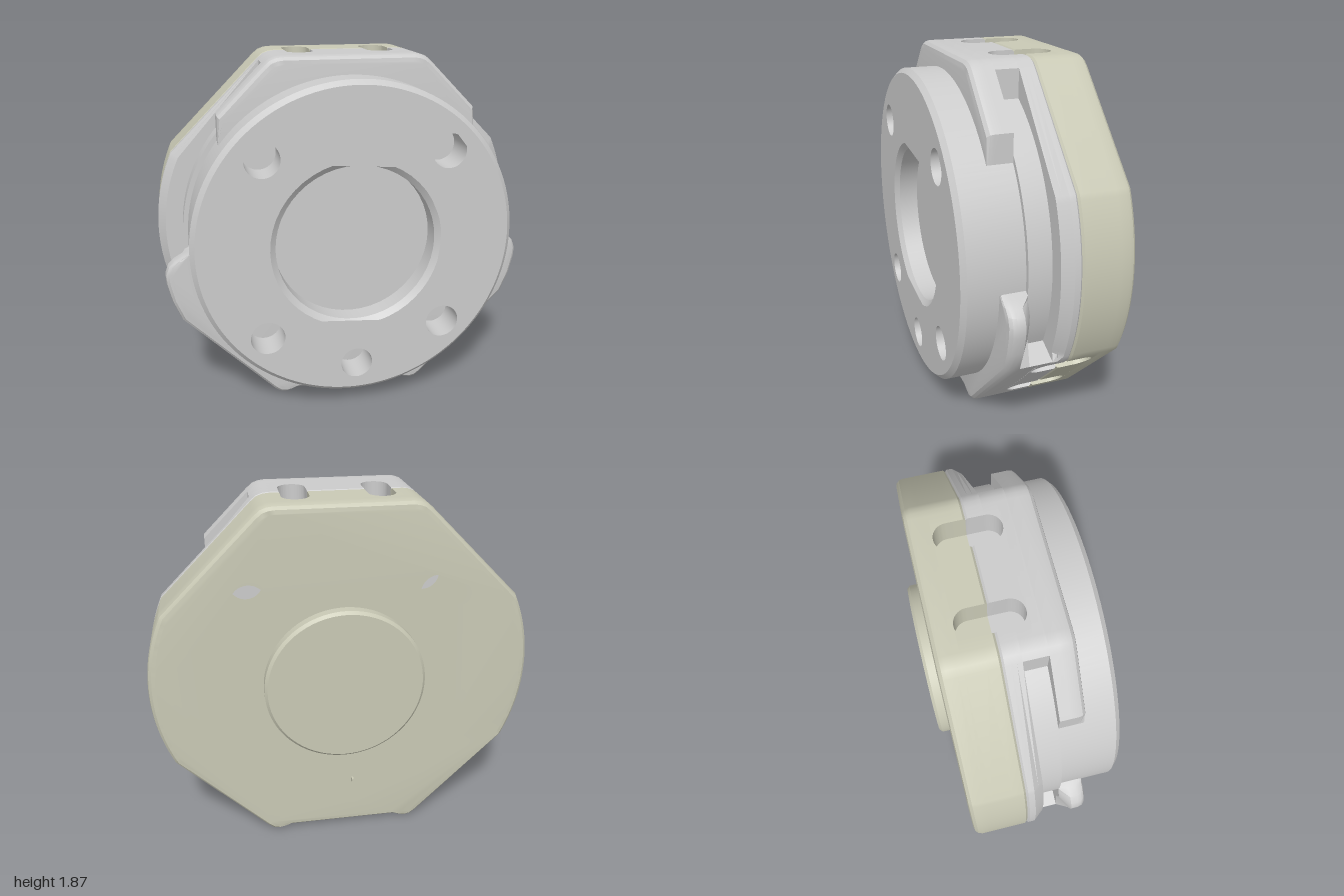
import * as THREE from 'three';
import { mergeGeometries, toCreasedNormals } from 'three/addons/utils/BufferGeometryUtils.js';

const D = Math.PI / 180, SEAM = -0.09, DEPTH = 0.15;
const grey = new THREE.MeshStandardMaterial({ color: 0xcccccc });
const beige = new THREE.MeshStandardMaterial({ color: 0xc9c9b5 });

// Edge recesses: face angle, face distance, offset along face, half width, z range
const recesses = [];
for (const s of [-1, 1]) {
  for (const a of [90, -45, -135]) recesses.push({ a, d: 0.94, u: s * 0.215, w: 0.07, z0: -0.255, z1: 0.07 });
  for (const z of [-0.22, 0.04]) recesses.push({ a: -90, d: 0.91, u: s * 0.15, w: 0.065, z0: z - 0.065, z1: z + 0.065 });
}

const onFace = (a, r, u) => [Math.cos(a * D) * r + Math.sin(a * D) * u, Math.sin(a * D) * r - Math.cos(a * D) * u];

// Notch corners on one face at height z, running clockwise
function notches(a, z) {
  return recesses
    .filter(n => n.a === a && z > n.z0 && z < n.z1 && !(a === 90 && n.u < 0) && !(a === -90 && n.u > 0))
    .sort((p, q) => p.u - q.u)
    .flatMap(n => [[n.d, -n.w], [n.d - DEPTH, -n.w], [n.d - DEPTH, n.w], [n.d, n.w]].map(([r, w]) => onFace(a, r, n.u + w)));
}

function arc(r, from, to, n = 28) {
  return Array.from({ length: n + 1 }, (_, i) => {
    const t = (from + (to - from) * i / n) * D;
    return [r * Math.cos(t), r * Math.sin(t)];
  });
}

// The +x flank of each cross-section, top to bottom
const flanks = {
  full: arc(1, 25, -25),
  neck: [...arc(0.87, 60.4, -25), [0.906, -0.42]],
  front: [[0.67, 0.66], [0.67, 0.52], ...arc(0.84, 38, -3), [0.88, -0.06], [0.925, -0.085], [0.957, -0.115],
    [0.974, -0.16], [0.972, -0.21], [0.95, -0.31], [0.906, -0.42]],
};

// Mirrored octagonal outline with two small feet
const outline = kind => z => {
  const half = [...notches(90, z), [0.34, 0.94], [0.37, 0.936], [0.4, 0.925], [0.43, 0.9], ...flanks[kind],
    ...notches(-45, z), [0.43, -0.9], [0.4, -0.923], [0.37, -0.93], [0.34, -0.925], [0.3, -0.91], ...notches(-90, z)];
  return [...half, ...half.map(([x, y]) => [-x, y]).reverse()];
};

// Stacks slices between the z levels; delta moves the rim in or out
function stack(name, material, zs, outlineAt, holes, delta) {
  const slices = [];
  for (let i = 0; i + 1 < zs.length; i++) {
    const [z0, z1] = [zs[i], zs[i + 1]];
    const shape = new THREE.Shape(outlineAt((z0 + z1) / 2).map(p => new THREE.Vector2(...p)));
    for (const [x, y, r] of holes) shape.holes.push(new THREE.Path().absarc(x, y, r, 0, Math.PI * 2, true));
    const g = new THREE.ExtrudeGeometry(shape, { depth: z1 - z0, bevelEnabled: false, curveSegments: 24 });
    g.translate(0, 0, z0);
    const p = g.attributes.position;
    for (let k = 0; k < p.count; k++) {
      const x = p.getX(k), y = p.getY(k), r = Math.hypot(x, y);
      const s = 1 + delta(x, y, p.getZ(k), r) / r;
      p.setXY(k, x * s, y * s);
    }
    slices.push(g);
  }
  const mesh = new THREE.Mesh(toCreasedNormals(mergeGeometries(slices), 0.5), material);
  mesh.name = name;
  return mesh;
}

const round = (b, t) => -(b - Math.sqrt(Math.max(0, b * b - t * t)));

// Rounds off one end of a recess with a block that has a half-circle cut out
function recessEnd(n, end) {
  const { w } = n;
  const s = new THREE.Shape();
  s.moveTo(-w, -w);
  s.lineTo(-w, 0.005);
  s.lineTo(w, 0.005);
  s.lineTo(w, -w);
  s.absarc(0, -w, w, 0, Math.PI, false);
  const g = new THREE.ExtrudeGeometry(s, { depth: DEPTH, bevelEnabled: false, curveSegments: 16 });
  const c = Math.cos(n.a * D), q = Math.sin(n.a * D), z = end > 0 ? n.z1 : n.z0;
  const m = new THREE.Matrix4().makeBasis(
    new THREE.Vector3(q * end, -c * end, 0), new THREE.Vector3(0, 0, end), new THREE.Vector3(-c, -q, 0));
  m.setPosition(...onFace(n.a, n.d, n.u), z);
  const mesh = new THREE.Mesh(toCreasedNormals(g.applyMatrix4(m), 0.5), z < SEAM ? beige : grey);
  mesh.name = 'recessEnd';
  return mesh;
}

export function createModel() {
  const group = new THREE.Group();
  group.name = 'flangedHousing';
  const bolts = r => [[1, 1], [1, -1], [-1, 1], [-1, -1]].map(([x, y]) => [x * 0.475, y * 0.475, r]);
  const pinHole = [0, -0.675, 0.085];

  // Rear cover with rounded back edge and a fine chamfer at the seam
  group.add(stack('rearCover', beige,
    [-0.37, -0.365, -0.35, -0.33, -0.285, -0.255, -0.155, -0.1, SEAM],
    outline('full'), [...bolts(0.088), pinHole],
    (x, y, z, r) => r < 0.86 ? 0 : z < -0.33 ? round(0.04, -0.33 - z) : z > -0.095 ? -0.01 : 0));

  // Flange whose exposed flanks taper towards the front
  group.add(stack('flange', grey, [SEAM, -0.08, -0.05, -0.025, 0], outline('full'), [],
    (x, y, z, r) => {
      if (r < 0.86) return 0;
      if (z < -0.085) return -0.01;
      return z > -0.05 && y > -0.4 && Math.abs(x) > 0.431 ? -0.8 * (z + 0.05) : 0;
    }));

  // Narrow middle that leaves the side pockets open
  group.add(stack('neck', grey, [0, 0.07, 0.105, 0.12], outline('neck'), [], () => 0));

  // Front shoulder with side lugs and a rounded front edge
  group.add(stack('frontShoulder', grey, [0.12, 0.17, 0.21, 0.23, 0.245, 0.25], outline('front'), [],
    (x, y, z, r) => {
      if (r < 0.86) return 0;
      if (z < 0.17) return y > -0.4 && y < 0 ? -Math.min(r - 0.87, 1.6 * (0.17 - z)) : 0;
      return z > 0.21 ? round(0.04, z - 0.21) : 0;
    }));

  // Front disc with bolt holes and a chamfered central recess
  group.add(stack('frontDisc', grey, [0.11, 0.405, 0.43], () => arc(0.845, 0, 357, 119),
    [...bolts(0.09), pinHole, [0, 0, 0.42]],
    (x, y, z, r) => z < 0.42 ? 0 : r > 0.8 ? -0.025 : r < 0.43 ? 0.03 : 0));
  const floor = new THREE.Mesh(new THREE.CircleGeometry(0.43, 64), grey);
  floor.name = 'recessFloor';
  floor.position.z = 0.3;
  group.add(floor);

  // Rear boss
  const profile = [[0, 0], [0.42, 0], [0.42, 0.075], [0.405, 0.09], [0, 0.09]].map(p => new THREE.Vector2(...p));
  const boss = new THREE.Mesh(toCreasedNormals(new THREE.LatheGeometry(profile, 72), 0.4), beige);
  boss.name = 'rearBoss';
  boss.rotation.x = -Math.PI / 2;
  boss.position.z = -0.345;
  group.add(boss);

  for (const n of recesses) group.add(recessEnd(n, 1), recessEnd(n, -1));

  group.children.forEach(c => { c.position.y += 0.93; });
  return group;
}
